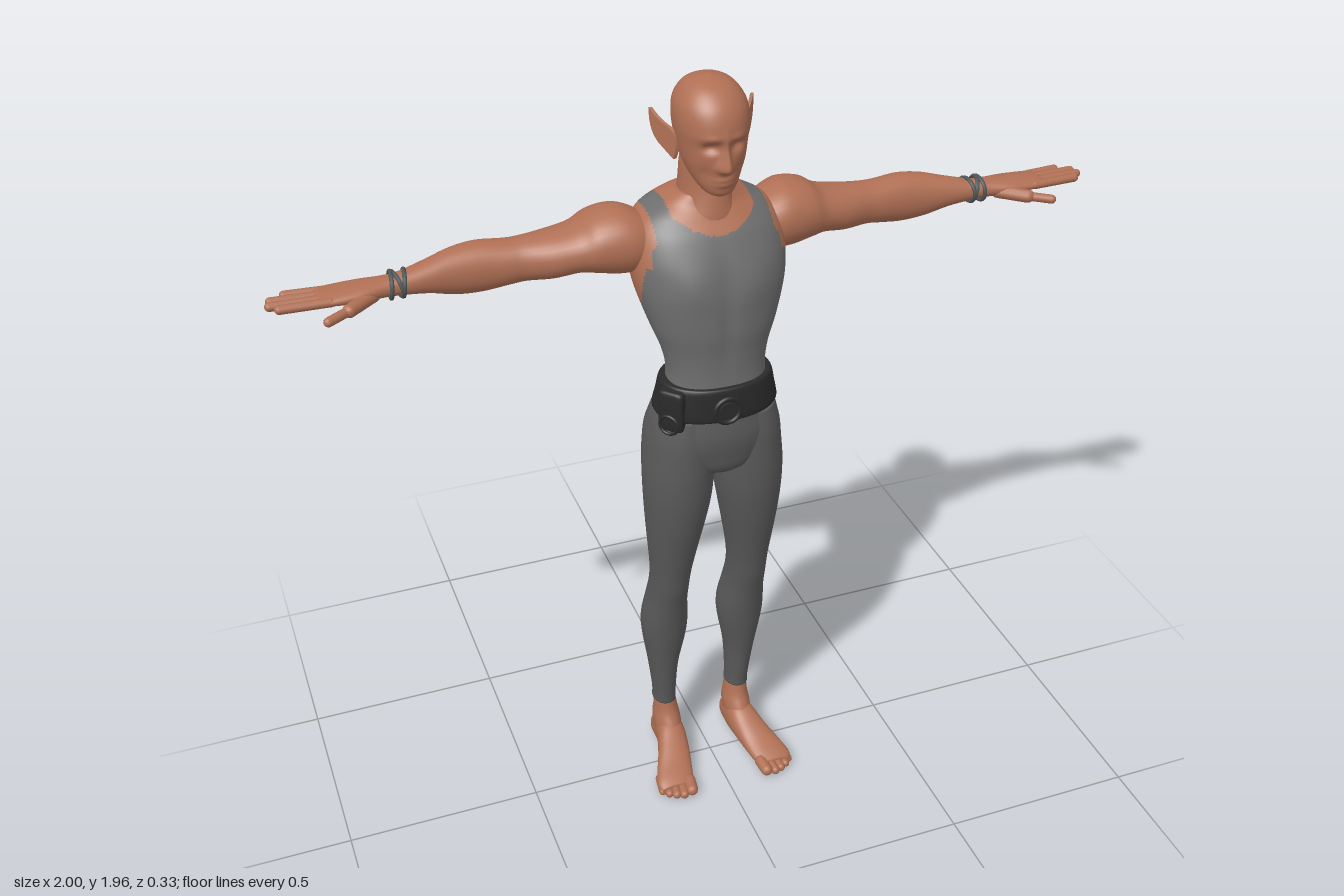
import * as THREE from 'three';
import { mergeVertices } from 'three/addons/utils/BufferGeometryUtils.js';

const material = (name, color) => {
  const m = new THREE.MeshStandardMaterial({ color });
  m.name = name;
  return m;
};
const gauss = (d, w) => Math.exp(-(d * d) / (w * w));

// Catmull-Rom resampling of rows [t, a0, a1, b0, b1]
function resample(rows, steps) {
  const out = [], last = rows.length - 1;
  const at = (i) => rows[Math.min(last, Math.max(0, i))];
  for (let i = 0; i < last; i++) for (let s = 0; s < steps; s++) {
    const u = s / steps, [p, q, r, w] = [at(i - 1), at(i), at(i + 1), at(i + 2)];
    out.push(q.map((v, k) => v + 0.5 * u * (r[k] - p[k]
      + u * (2 * p[k] - 5 * v + 4 * r[k] - w[k] + u * (3 * (v - r[k]) + w[k] - p[k])))));
  }
  out.push(rows[last]);
  return out;
}

// Closed skin over rounded sections; axes is 'yxz', 'xzy' or 'zyx' (along, across, across)
function loft(axes, rows, { seg = 32, steps = 5, power = 2, warp, rule } = {}) {
  const rings = resample(rows, steps), pos = [], v = new THREE.Vector3();
  const put = (t, a, b) => {
    v[axes[0]] = t; v[axes[1]] = a; v[axes[2]] = b;
    if (warp) warp(v);
    pos.push(v.x, v.y, v.z);
  };
  const round = (c) => Math.sign(c) * Math.abs(c) ** (2 / power);
  for (const [t, a0, a1, b0, b1] of rings) for (let j = 0; j < seg; j++) {
    const g = (j / seg) * Math.PI * 2;
    put(t, (a0 + a1) / 2 + (a1 - a0) / 2 * round(Math.cos(g)), (b0 + b1) / 2 + (b1 - b0) / 2 * round(Math.sin(g)));
  }
  for (const r of [rings[0], rings[rings.length - 1]]) put(r[0], (r[1] + r[2]) / 2, (r[3] + r[4]) / 2);
  const buckets = [[], []], n = rings.length, cap = n * seg;
  const face = (...f) => {
    const mean = (k) => f.reduce((s, i) => s + pos[i * 3 + k], 0) / 3;
    buckets[rule ? rule(mean(0), mean(1), mean(2)) : 0].push(...f);
  };
  for (let j = 0; j < seg; j++) {
    const k = (j + 1) % seg;
    for (let i = 0; i < n - 1; i++) {
      const a = i * seg + j, b = i * seg + k;
      face(a, a + seg, b);
      face(b, a + seg, b + seg);
    }
    face(cap, j, k);
    face(cap + 1, (n - 1) * seg + k, (n - 1) * seg + j);
  }
  const geo = new THREE.BufferGeometry();
  geo.setAttribute('position', new THREE.Float32BufferAttribute(pos, 3));
  geo.setIndex(buckets.flat());
  if (rule) {
    geo.addGroup(0, buckets[0].length, 0);
    geo.addGroup(buckets[0].length, buckets[1].length, 1);
  }
  geo.computeVertexNormals();
  return geo;
}

// Symmetric rows given as [y, halfWidth, back, front]
const sym = (rows) => rows.map(([y, w, b, f]) => [y, -w, w, b, f]);

// Rounded rod between two points
function rod(a, b, r) {
  const p = new THREE.Vector3(...a), d = new THREE.Vector3(...b).sub(p), len = d.length();
  const geo = new THREE.CapsuleGeometry(r, Math.max(0.001, len - 2 * r), 5, 12);
  geo.applyQuaternion(new THREE.Quaternion().setFromUnitVectors(new THREE.Vector3(0, 1, 0), d.clone().normalize()));
  p.addScaledVector(d, 0.5);
  return geo.translate(p.x, p.y, p.z);
}

function mirrored(geo) {
  const m = geo.clone().scale(-1, 1, 1), ix = m.index.array;
  for (let i = 0; i < ix.length; i += 3) [ix[i], ix[i + 1]] = [ix[i + 1], ix[i]];
  return m;
}

export function createModel() {
  const model = new THREE.Group();
  const skin = material('skin', 0xb07055), shirt = material('shirt grey', 0x6e6e6e);
  const cloth = material('trouser grey', 0x5a5a5a), leather = material('belt black', 0x2a2a2a);
  const cord = material('bracelet slate', 0x50575a);
  const add = (name, geo, mat) => {
    const mesh = new THREE.Mesh(geo, mat);
    mesh.name = name;
    model.add(mesh);
    return mesh;
  };
  const pair = (name, geo, mat) => {
    add('left ' + name, geo, mat);
    add('right ' + name, mirrored(geo), mat);
  };

  // Head with brow, eye sockets, nose and lips
  add('head', loft('yxz', sym([
    [1.703, 0.018, 0.02, 0.075], [1.715, 0.036, 0, 0.091], [1.745, 0.056, -0.04, 0.096], [1.78, 0.07, -0.07, 0.099],
    [1.82, 0.078, -0.09, 0.101], [1.86, 0.083, -0.1, 0.105], [1.9, 0.08, -0.099, 0.094], [1.93, 0.064, -0.082, 0.07],
    [1.948, 0.041, -0.054, 0.04], [1.957, 0.006, -0.014, 0]]), {
    seg: 96, steps: 8, power: 2.15,
    warp: (p) => {
      if (p.z < 0.03) return;
      const x = Math.abs(p.x), y = p.y;
      const ridge = y > 1.78 ? gauss(y - 1.78, 0.045) : gauss(y - 1.78, 0.012);
      p.z += 0.028 * ridge * gauss(x, 0.007 + 0.009 * gauss(y - 1.778, 0.02))
        - 0.014 * gauss(x - 0.03, 0.018) * gauss(y - 1.826, 0.012)
        + 0.004 * gauss(x - 0.03, 0.025) * gauss(y - 1.847, 0.008)
        + 0.005 * gauss(x, 0.022) * (gauss(y - 1.75, 0.006) + gauss(y - 1.738, 0.006))
        - 0.005 * gauss(x - 0.042, 0.016) * gauss(y - 1.762, 0.02);
    },
  }), skin);
  add('neck', loft('yxz', sym([[1.58, 0.1, -0.13, 0.05], [1.63, 0.082, -0.125, 0.05], [1.67, 0.066, -0.112, 0.042],
    [1.71, 0.062, -0.096, 0.033], [1.76, 0.06, -0.084, 0.03], [1.8, 0.05, -0.075, 0.03]])), skin);

  // Pointed ears
  const leaf = new THREE.Shape();
  leaf.moveTo(0.004, 1.772);
  leaf.quadraticCurveTo(-0.012, 1.825, 0.014, 1.845);
  leaf.quadraticCurveTo(0.035, 1.855, 0.052, 1.88);
  leaf.quadraticCurveTo(0.054, 1.82, 0.026, 1.795);
  leaf.closePath();
  let ear = new THREE.ExtrudeGeometry(leaf, { depth: 0.008, bevelEnabled: false, curveSegments: 8 });
  ear.applyMatrix4(new THREE.Matrix4().set(0.8, 0, 1, 0.074, 0, 1, 0, 0, -1, 0, 0, 0, 0, 0, 0, 1));
  ear.deleteAttribute('uv');
  ear = mergeVertices(ear);
  pair('ear', ear, skin);

  // Torso: sleeveless shirt with open neckline and armholes
  add('torso', loft('yxz', sym([
    [1.16, 0.13, -0.06, 0.125], [1.22, 0.122, -0.053, 0.123], [1.27, 0.12, -0.05, 0.12], [1.32, 0.13, -0.065, 0.121],
    [1.38, 0.152, -0.096, 0.126], [1.45, 0.174, -0.13, 0.124], [1.5, 0.184, -0.148, 0.115], [1.55, 0.186, -0.163, 0.1],
    [1.6, 0.176, -0.165, 0.075], [1.635, 0.152, -0.155, 0.048], [1.662, 0.105, -0.135, 0.03], [1.685, 0.068, -0.1, 0.025]]), {
    seg: 112, steps: 9, power: 2.3,
    warp: (p) => {
      const x = Math.abs(p.x);
      if (p.z < -0.03) p.z += 0.014 * gauss(x, 0.025) * gauss(p.y - 1.42, 0.16);
      else if (p.z > 0.03) p.z += 0.007 * gauss(x - 0.07, 0.05) * gauss(p.y - 1.5, 0.05) - 0.005 * gauss(x, 0.02) * gauss(p.y - 1.42, 0.12);
    },
    rule: (x, y, z) => {
      const ax = Math.abs(x);
      const neck = ax < 0.1 && y > 1.605 + 4 * x * x;
      const armhole = ax > 0.1 && ((z + 0.04) / 0.082) ** 2 + ((y - 1.56) / 0.155) ** 2 < 1 && (ax > 0.14 || y < 1.55);
      return neck || armhole || (ax > 0.155 && y > 1.54) ? 1 : 0;
    },
  }), [shirt, skin]);

  // Arm and palm, from the shoulder outwards
  pair('arm', loft('xzy', [
    [0.12, -0.12, 0.01, 1.53, 1.615], [0.17, -0.148, 0.024, 1.5, 1.643], [0.21, -0.16, 0.024, 1.495, 1.652],
    [0.26, -0.16, 0.015, 1.503, 1.642], [0.3, -0.155, 0, 1.508, 1.618], [0.36, -0.15, -0.014, 1.5, 1.606],
    [0.42, -0.141, -0.033, 1.499, 1.6], [0.46, -0.14, -0.038, 1.494, 1.6], [0.52, -0.144, -0.043, 1.486, 1.604],
    [0.58, -0.137, -0.044, 1.491, 1.598], [0.64, -0.118, -0.041, 1.51, 1.584], [0.7, -0.1, -0.039, 1.521, 1.572],
    [0.74, -0.097, -0.035, 1.525, 1.569], [0.79, -0.105, -0.023, 1.528, 1.567], [0.84, -0.108, -0.02, 1.531, 1.563],
    [0.88, -0.106, -0.023, 1.536, 1.559], [0.892, -0.1, -0.03, 1.542, 1.554]], { power: 2.15 }), skin);
  [[-0.033, 0.982], [-0.054, 1], [-0.076, 0.995], [-0.097, 0.962]].forEach(([z, tip], i) =>
    pair('finger ' + (i + 1), rod([0.85, 1.547, z * 0.95], [tip, 1.549, z], 0.0105), skin));
  pair('thumb base', rod([0.755, 1.54, -0.055], [0.84, 1.535, 0.008], 0.016), skin);
  pair('thumb', rod([0.81, 1.537, -0.012], [0.888, 1.53, 0.03], 0.011), skin);

  // Wrist cords
  [[0.695, 0.12], [0.71, -0.2], [0.724, 0.08]].forEach(([x, tilt], i) => {
    const ring = new THREE.TorusGeometry(0.034, 0.005, 8, 28).scale(1, 0.88, 1);
    pair('bracelet cord ' + (i + 1), ring.rotateY(Math.PI / 2 + tilt).rotateZ(tilt).translate(x, 1.547, -0.068), cord);
  });

  // Trousers: hips and legs
  add('hips', loft('yxz', sym([[0.965, 0.03, -0.03, 0.06], [1, 0.1, -0.075, 0.116], [1.05, 0.158, -0.09, 0.131],
    [1.1, 0.162, -0.09, 0.137], [1.15, 0.148, -0.076, 0.131], [1.2, 0.13, -0.058, 0.125]]), { seg: 48 }), cloth);
  pair('trouser leg', loft('yxz', [
    [0.165, 0.074, 0.136, -0.121, -0.039], [0.2, 0.075, 0.136, -0.121, -0.035], [0.3, 0.069, 0.148, -0.128, -0.02],
    [0.4, 0.051, 0.163, -0.137, 0], [0.46, 0.047, 0.166, -0.133, 0.012], [0.54, 0.055, 0.158, -0.108, 0.03],
    [0.6, 0.057, 0.155, -0.086, 0.047], [0.66, 0.053, 0.156, -0.077, 0.06], [0.74, 0.04, 0.163, -0.079, 0.08],
    [0.82, 0.025, 0.17, -0.082, 0.1], [0.9, 0.011, 0.175, -0.085, 0.115], [0.97, 0.004, 0.176, -0.091, 0.122],
    [1.03, 0.001, 0.172, -0.103, 0.124], [1.09, 0.001, 0.165, -0.098, 0.123], [1.15, 0.01, 0.148, -0.075, 0.115]],
    { power: 2.1 }), cloth);

  // Bare ankles, feet and toes
  pair('ankle', loft('yxz', [[0.02, 0.073, 0.132, -0.125, 0], [0.06, 0.068, 0.137, -0.132, 0.01],
    [0.1, 0.066, 0.138, -0.128, -0.012], [0.135, 0.071, 0.134, -0.12, -0.032], [0.18, 0.077, 0.133, -0.118, -0.042]]), skin);
  pair('foot', loft('zyx', [
    [-0.132, 0.018, 0.05, 0.085, 0.12], [-0.11, 0.004, 0.08, 0.07, 0.135], [-0.04, 0.006, 0.108, 0.064, 0.141],
    [0.02, 0.01, 0.083, 0.07, 0.158], [0.07, 0.006, 0.058, 0.08, 0.178], [0.11, 0.002, 0.042, 0.09, 0.19],
    [0.135, 0.006, 0.03, 0.1, 0.184]], { power: 2.3 }), skin);
  [[0.11, 0.168, 0.016], [0.133, 0.169, 0.012], [0.152, 0.162, 0.0115], [0.169, 0.151, 0.011], [0.183, 0.136, 0.0105]]
    .forEach(([x, tip, r], i) => pair('toe ' + (i + 1), rod([x - 0.008, r + 0.008, tip - 0.065], [x, r, tip], r), skin));

  // Belt with ring buckle and side pouch
  add('belt', loft('yxz', sym([[1.155, 0.14, -0.07, 0.13], [1.158, 0.153, -0.082, 0.14], [1.2, 0.145, -0.073, 0.139],
    [1.236, 0.137, -0.066, 0.135], [1.24, 0.125, -0.055, 0.125]]), { seg: 64, power: 2.15 }), leather);
  add('buckle ring', new THREE.TorusGeometry(0.032, 0.006, 8, 32).translate(-0.008, 1.187, 0.142), leather);
  add('buckle plate', new THREE.CylinderGeometry(0.02, 0.02, 0.008, 24).rotateX(Math.PI / 2).translate(-0.008, 1.187, 0.142), leather);
  const pouch = new THREE.Group();
  pouch.name = 'pouch';
  const bag = new THREE.Mesh(loft('yxz', sym([[1.13, 0.022, -0.012, 0.012], [1.138, 0.032, -0.018, 0.018],
    [1.19, 0.034, -0.02, 0.02], [1.228, 0.033, -0.018, 0.018], [1.236, 0.022, -0.012, 0.012]]), { power: 4 }), leather);
  bag.name = 'pouch bag';
  const loop = new THREE.Mesh(new THREE.TorusGeometry(0.024, 0.004, 8, 24).translate(0, 1.15, 0.02), leather);
  loop.name = 'pouch ring';
  pouch.add(bag, loop);
  pouch.position.set(-0.125, 0, 0.085);
  pouch.rotation.y = -0.85;
  model.add(pouch);
  return model;
}
